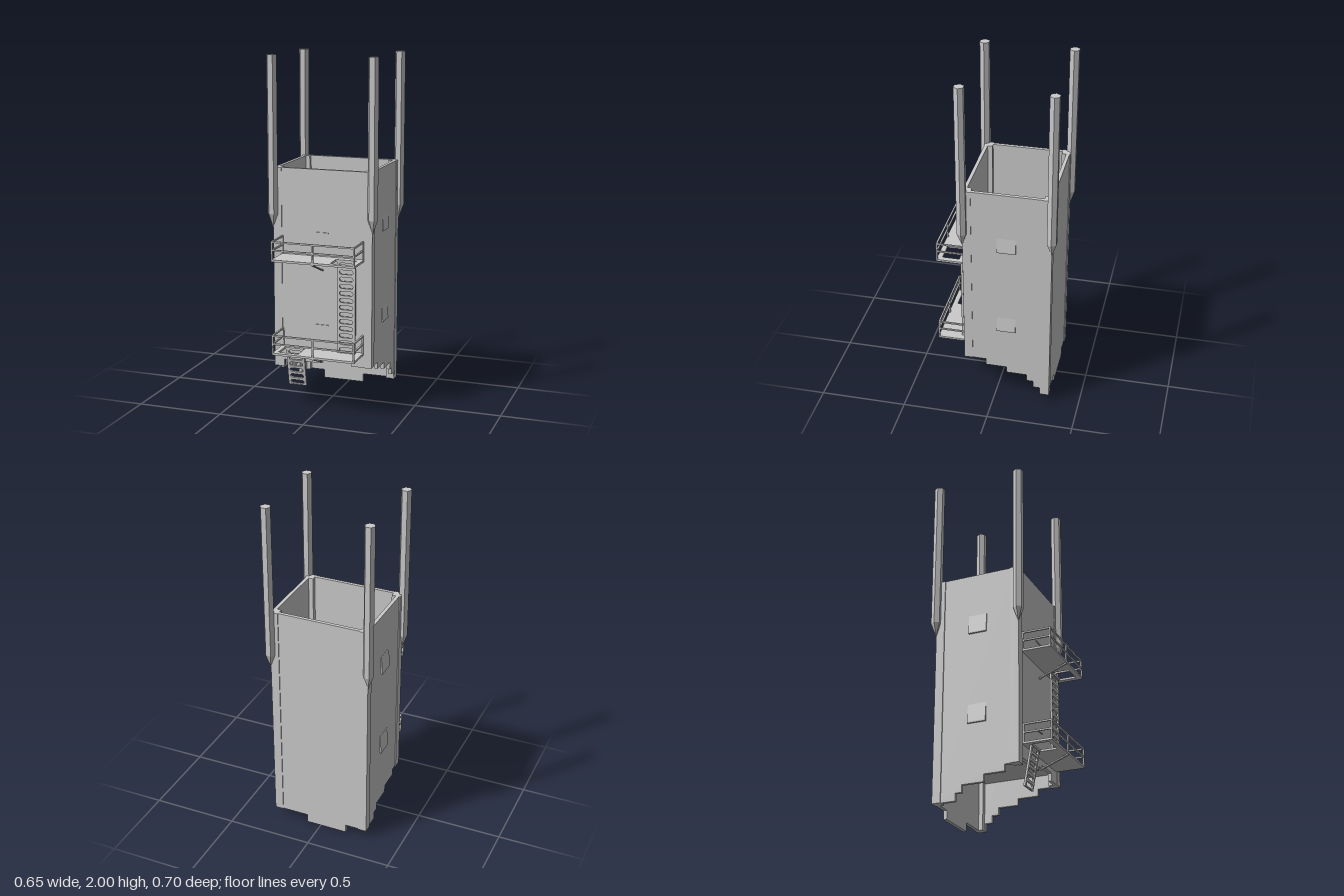
import * as THREE from 'three';

const mat = new THREE.MeshStandardMaterial({ color: 0xcccccc, flatShading: true, side: THREE.DoubleSide });

export function createModel() {
  const root = new THREE.Group();
  root.name = 'tower';

  const add = (name, geo, parent = root) => {
    const m = new THREE.Mesh(geo, mat);
    m.name = name;
    parent.add(m);
    return m;
  };
  // box given by its minimum and maximum corners
  const box = (name, x0, x1, y0, y1, z0, z1, parent) =>
    add(name, new THREE.BoxGeometry(x1 - x0, y1 - y0, z1 - z0)
      .translate((x0 + x1) / 2, (y0 + y1) / 2, (z0 + z1) / 2), parent);
  const extrude = (shape, depth) => new THREE.ExtrudeGeometry(shape, { depth, bevelEnabled: false });
  const rect = (C, x0, x1, y0, y1) => {
    const s = new C();
    s.moveTo(x0, y0);
    s.lineTo(x1, y0);
    s.lineTo(x1, y1);
    s.lineTo(x0, y1);
    s.closePath();
    return s;
  };

  // walls: flat top, stepped bottom edge given as [start, height] runs
  const TOP = 1.375;
  const stepped = (runs, end) => {
    const pts = [];
    runs.forEach(([a, y], i) => {
      const b = i + 1 < runs.length ? runs[i + 1][0] : end;
      pts.push(new THREE.Vector2(a, y), new THREE.Vector2(b, y));
    });
    pts.push(new THREE.Vector2(end, TOP), new THREE.Vector2(runs[0][0], TOP));
    return new THREE.Shape(pts);
  };
  add('backWall', extrude(stepped([[-0.27, 0.05], [-0.16, 0], [0.087, 0.05]], 0.27), 0.02).translate(0, 0, -0.32));
  add('frontWall', extrude(stepped([[-0.27, 0.215], [-0.235, 0.255], [-0.01, 0.28], [0.03, 0.3], [0.17, 0.255]], 0.27), 0.02)
    .translate(0, 0, 0.157));
  const rightRuns = [[-0.3, 0.05], [-0.19, 0.093], [-0.153, 0.135], [-0.026, 0.177], [0.095, 0.215]];
  const leftRuns = [[-0.3, 0.05], [-0.27, 0.093], [-0.23, 0.135], [-0.19, 0.177], [-0.07, 0.215], [0.053, 0.255]];
  add('rightWall', extrude(stepped(rightRuns, 0.16), 0.02).rotateY(-Math.PI / 2).translate(-0.267, 0, 0));
  add('leftWall', extrude(stepped(leftRuns, 0.16), 0.02).rotateY(-Math.PI / 2).translate(0.29, 0, 0));

  // floors
  for (const y of [0.33, 0.87]) box('floor', -0.268, 0.272, y, y + 0.01, -0.302, 0.16);

  // corner posts and pointed hexagonal poles
  for (const s of [-1, 1]) {
    const a = s < 0 ? -0.293 : 0.243;
    box('backCornerPost', a, a + 0.05, 0.05, TOP, -0.325, -0.275);
    box('frontCornerPost', a, a + 0.05, s < 0 ? 0.215 : 0.255, TOP, 0.13, 0.18);
    for (const z of [-0.325, 0.18]) {
      add('pole', new THREE.CylinderGeometry(0.03, 0.03, 0.89, 6, 1, false, Math.PI / 6).translate(s * 0.295, 1.555, z));
      add('poleTip', new THREE.CylinderGeometry(0.03, 0, 0.08, 6, 1, true, Math.PI / 6).translate(s * 0.295, 1.07, z));
    }
  }

  // window flaps on the sides: flush at the top, leaning out at the bottom
  for (const y of [0.475, 1.01]) {
    for (const s of [-1, 1]) {
      const flap = new THREE.Shape([[0.28, 0], [0.298, 0], [0.298, 0.008], [0.288, 0.11], [0.28, 0.11]]
        .map(([x, h]) => new THREE.Vector2(s * x, y + h)));
      add('windowFlap', extrude(flap, 0.108).translate(0, 0, -0.123));
    }
    // door bars, outside and inside
    box('doorBar', -0.045, 0.035, y + 0.005, y + 0.01, 0.176, 0.183);
    box('innerDoorBar', -0.03, 0.045, y + 0.005, y + 0.01, 0.123, 0.127);
  }

  // balcony with hatch, railing and brace
  const balcony = (y, hatchX) => {
    const g = new THREE.Group();
    g.name = 'balcony';
    const deck = rect(THREE.Shape, -0.243, 0.245, 0.177, 0.347);
    deck.holes.push(rect(THREE.Path, hatchX - 0.06, hatchX + 0.06, 0.22, 0.318));
    add('deck', extrude(deck, 0.012).rotateX(Math.PI / 2).translate(0, y + 0.012, 0), g);
    const T = 0.009;
    for (const h of [0.06, 0.108]) {
      box('frontRail', -0.243, 0.245, y + h, y + h + T, 0.338, 0.347, g);
      for (const x of [-0.243, 0.236]) box('sideRail', x, x + T, y + h, y + h + T, 0.178, 0.338, g);
    }
    for (const x of [-0.243, -0.004, 0.236]) box('railPost', x, x + T, y, y + 0.117, 0.338, 0.347, g);
    for (const x of [-0.243, 0.236]) box('railPost', x, x + T, y, y + 0.117, 0.178, 0.187, g);
    const brace = add('brace', new THREE.BoxGeometry(0.013, 0.007, 0.178), g);
    brace.position.set(0, y - 0.034, 0.261);
    brace.rotation.x = -Math.atan2(0.065, 0.165);
    root.add(g);
  };
  balcony(0.33, -0.155);
  balcony(0.87, 0.155);

  // ladder plate with rounded slots, hanging down from its top
  const ladder = (name, x, yTop, z, length, n, tilt) => {
    const s = rect(THREE.Shape, -0.054, 0.054, -length, 0);
    const pitch = length / n, r = 0.012;
    for (let i = 0; i < n; i++) {
      const c = -(i + 0.5) * pitch;
      const h = new THREE.Path();
      h.absarc(0.028, c, r, -Math.PI / 2, Math.PI / 2, false);
      h.absarc(-0.028, c, r, Math.PI / 2, Math.PI * 1.5, false);
      h.closePath();
      s.holes.push(h);
    }
    const geo = new THREE.ExtrudeGeometry(s, { depth: 0.012, bevelEnabled: false, curveSegments: 4 });
    const m = add(name, geo.translate(0, 0, -0.006));
    m.position.set(x, yTop, z);
    m.rotation.x = tilt;
  };
  ladder('upperLadder', 0.153, 0.872, 0.209, 0.53, 13, 0);
  ladder('lowerLadder', -0.153, 0.335, 0.213, 0.228, 6, Math.atan2(0.04, 0.22));

  return root;
}
